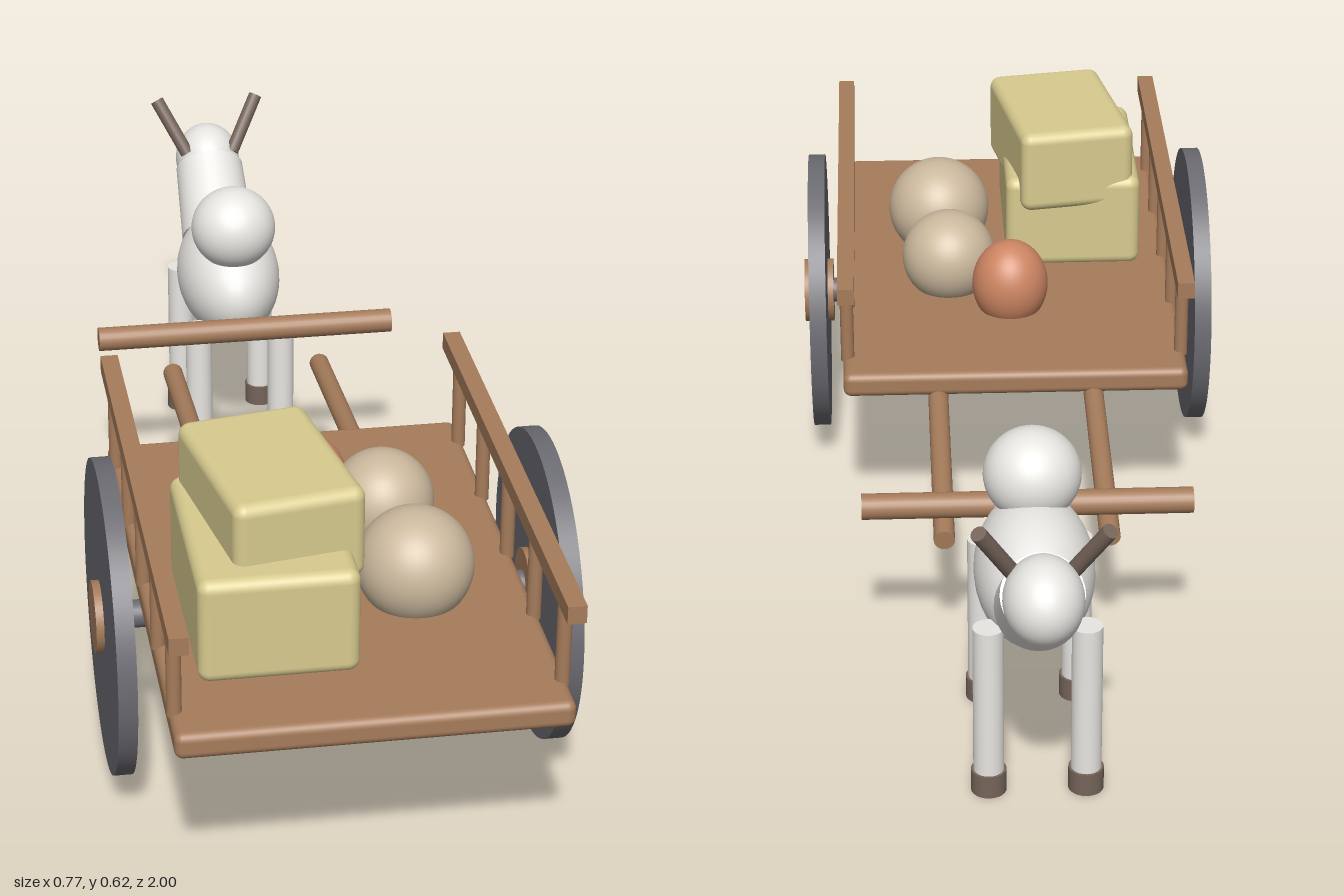
import * as THREE from 'three';
import { RoundedBoxGeometry } from 'three/addons/geometries/RoundedBoxGeometry.js';

const mat = (color) => new THREE.MeshStandardMaterial({ color });

export function createModel() {
  const root = new THREE.Group();
  const wood = mat(0xa67c5b), iron = mat(0x6b6b72), straw = mat(0xd8cb8f);
  const sackCloth = mat(0xcbb89d), clay = mat(0xcc8562), hide = mat(0xe8e6e2), horn = mat(0x76655a);

  const add = (parent, name, geometry, material, x = 0, y = 0, z = 0) => {
    const mesh = new THREE.Mesh(geometry, material);
    mesh.name = name;
    mesh.position.set(x, y, z);
    parent.add(mesh);
    return mesh;
  };
  // Cylinder running from point a (radius ra) to point b (radius rb)
  const rod = (parent, name, a, b, ra, rb, material, sides = 24) => {
    const p = new THREE.Vector3(...a), q = new THREE.Vector3(...b);
    const dir = q.clone().sub(p);
    const mesh = add(parent, name, new THREE.CylinderGeometry(rb, ra, dir.length(), sides), material);
    mesh.position.copy(p).add(q).multiplyScalar(0.5);
    mesh.quaternion.setFromUnitVectors(new THREE.Vector3(0, 1, 0), dir.normalize());
    return mesh;
  };
  const ball = (parent, name, x, y, z, rx, ry, rz, material) => {
    const mesh = add(parent, name, new THREE.SphereGeometry(1, 40, 28), material, x, y, z);
    mesh.scale.set(rx, ry, rz);
    return mesh;
  };

  // Cart
  const cart = new THREE.Group();
  cart.name = 'cart';
  root.add(cart);
  add(cart, 'bed', new RoundedBoxGeometry(0.62, 0.045, 0.955, 4, 0.014), wood, 0, 0.32, 0.522);
  rod(cart, 'axle', [-0.36, 0.28, 0.525], [0.36, 0.28, 0.525], 0.023, 0.023, iron);
  rod(cart, 'yoke', [-0.278, 0.33, -0.4], [0.278, 0.33, -0.4], 0.022, 0.022, wood);
  for (const s of [-1, 1]) {
    rod(cart, 'wheel', [s * 0.342, 0.28, 0.525], [s * 0.373, 0.28, 0.525], 0.26, 0.26, iron, 64);
    rod(cart, 'hub', [s * 0.331, 0.28, 0.525], [s * 0.386, 0.28, 0.525], 0.06, 0.06, wood, 32);
    rod(cart, 'shaft', [s * 0.14, 0.3, 0.165], [s * 0.14, 0.255, -0.39], 0.018, 0.018, wood);
    add(cart, 'rail', new THREE.BoxGeometry(0.03, 0.03, 0.955), wood, s * 0.302, 0.5, 0.522);
    for (let i = 0; i < 5; i++) {
      const z = 0.125 + i * 0.2;
      rod(cart, 'railPost', [s * 0.302, 0.335, z], [s * 0.302, 0.49, z], 0.012, 0.012, wood, 16);
    }
  }

  // Cargo
  const cargo = new THREE.Group();
  cargo.name = 'cargo';
  root.add(cargo);
  add(cargo, 'lowerBale', new RoundedBoxGeometry(0.254, 0.18, 0.365, 4, 0.02), straw, -0.127, 0.427, 0.673);
  const topBale = add(cargo, 'upperBale', new RoundedBoxGeometry(0.215, 0.157, 0.315, 4, 0.02), straw, -0.11, 0.539, 0.637);
  topBale.rotation.y = 0.17;
  ball(cargo, 'largeSack', 0.125, 0.4, 0.637, 0.096, 0.096, 0.096, sackCloth);
  ball(cargo, 'smallSack', 0.111, 0.4, 0.418, 0.087, 0.087, 0.087, sackCloth);
  ball(cargo, 'clayJar', 0, 0.39, 0.317, 0.07, 0.083, 0.07, clay);

  // Draught animal
  const ox = new THREE.Group();
  ox.name = 'ox';
  root.add(ox);
  ball(ox, 'body', 0, 0.342, -0.632, 0.098, 0.113, 0.165, hide);
  ball(ox, 'hump', 0, 0.474, -0.553, 0.08, 0.078, 0.079, hide);
  rod(ox, 'neck', [0, 0.36, -0.775], [0, 0.455, -0.897], 0.071, 0.066, hide, 32);
  ball(ox, 'head', 0, 0.463, -0.924, 0.063, 0.069, 0.076, hide);
  for (const s of [-1, 1]) {
    rod(ox, 'horn', [s * 0.045, 0.49, -0.888], [s * 0.099, 0.588, -0.935], 0.013, 0.013, horn, 16);
    for (const z of [-0.475, -0.752]) {
      rod(ox, 'leg', [s * 0.079, 0.02, z], [s * 0.079, 0.308, z], 0.025, 0.025, hide);
      rod(ox, 'hoof', [s * 0.079, 0, z], [s * 0.079, 0.04, z], 0.029, 0.029, horn);
    }
  }
  return root;
}
